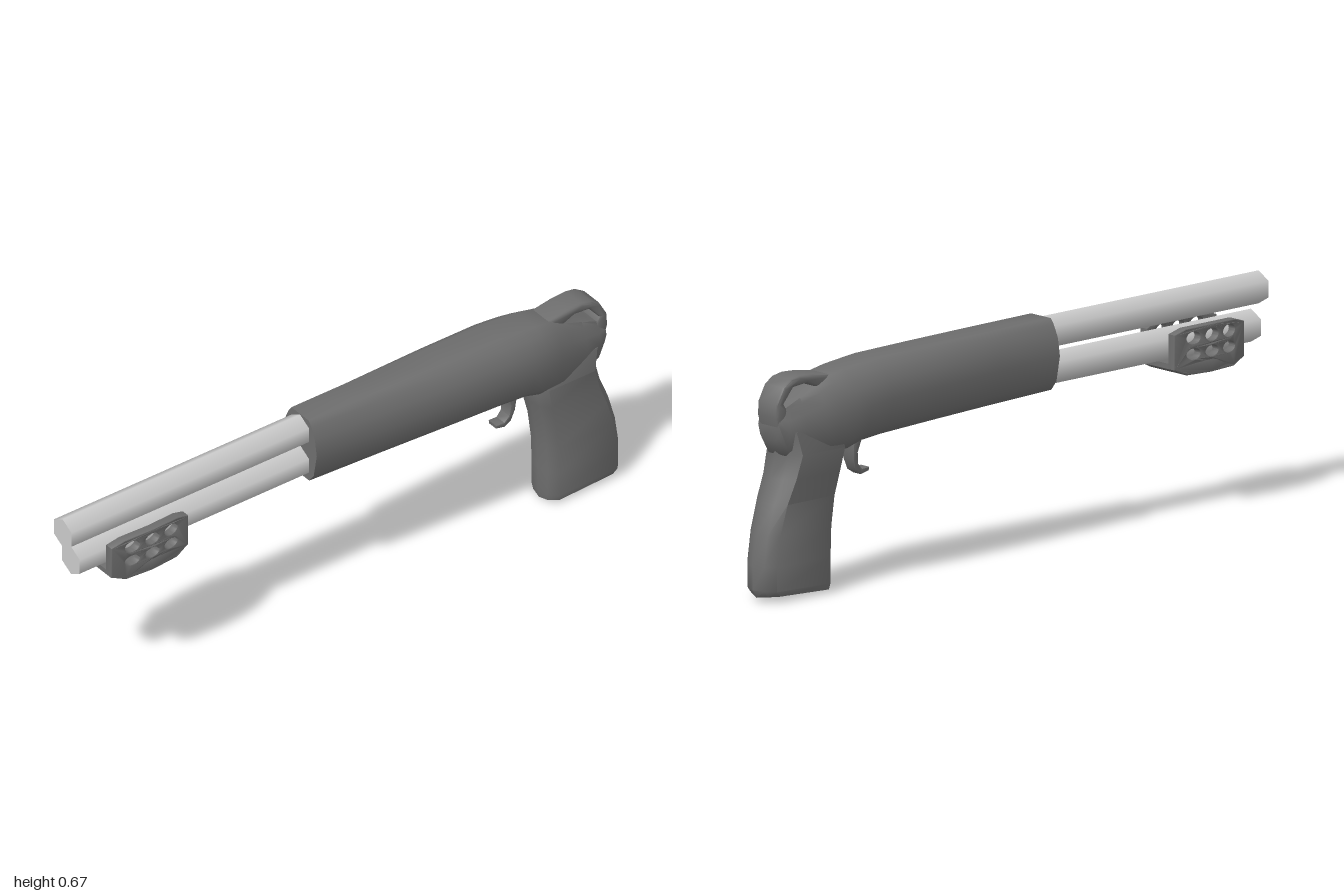
import * as THREE from 'three';
import { toCreasedNormals } from 'three/addons/utils/BufferGeometryUtils.js';

const steel = new THREE.MeshStandardMaterial({ color: 0xcccccc });
const dark = new THREE.MeshStandardMaterial({ color: 0x6e6e6e });

// Skin a list of closed rings ([x, y, z] points) and cap both ends.
function loft(rings, crease) {
  const n = rings[0].length, pos = rings.flat(2), index = [];
  for (let i = 0; i < rings.length - 1; i++)
    for (let j = 0; j < n; j++) {
      const a = i * n + j, b = i * n + (j + 1) % n;
      index.push(a, a + n, b, b, a + n, b + n);
    }
  [0, rings.length - 1].forEach((r, end) => {
    const c = pos.length / 3;
    for (let k = 0; k < 3; k++) pos.push(rings[r].reduce((s, p) => s + p[k], 0) / n);
    for (let j = 0; j < n; j++) {
      const a = r * n + j, b = r * n + (j + 1) % n;
      end ? index.push(c, b, a) : index.push(c, a, b);
    }
  });
  const g = new THREE.BufferGeometry();
  g.setAttribute('position', new THREE.Float32BufferAttribute(pos, 3));
  g.setIndex(index);
  return toCreasedNormals(g, crease);
}

// Extrude a side profile of [z, y] points across x, centred on x = 0.
function sidePlate(points, width, bevel = 0, holes = []) {
  const shape = new THREE.Shape(points.map(p => new THREE.Vector2(...p)));
  shape.holes = holes;
  const depth = width - 2 * bevel;
  return new THREE.ExtrudeGeometry(shape, {
    depth, curveSegments: 10, bevelEnabled: bevel > 0, bevelSize: bevel,
    bevelThickness: bevel, bevelOffset: -bevel, bevelSegments: 2,
  }).translate(0, 0, -depth / 2).rotateY(-Math.PI / 2);
}

// Move every vertex by a rule.
function warp(g, rule) {
  const p = g.attributes.position, v = new THREE.Vector3();
  for (let i = 0; i < p.count; i++) {
    rule(v.fromBufferAttribute(p, i));
    p.setXYZ(i, v.x, v.y, v.z);
  }
  return g;
}

export function createModel() {
  const model = new THREE.Group();
  const add = (name, geometry, material = dark) => {
    const mesh = new THREE.Mesh(geometry, material);
    mesh.name = name;
    model.add(mesh);
  };

  // Two six-sided tubes, one above the other
  for (const [name, y, end] of [['upperBarrel', 0.621, 1], ['lowerTube', 0.512, 0.97]]) {
    const length = end - 0.1;
    add(name, new THREE.CylinderGeometry(0.049, 0.049, length, 6)
      .rotateX(Math.PI / 2).translate(0, y, end - length / 2), steel);
  }

  // Body: z, top, bottom, half width, half width of the flat top
  const bodyRings = [
    [0.14, 0.672, 0.46, 0.08, 0.042],
    [-0.1, 0.67, 0.456, 0.094, 0.044],
    [-0.35, 0.667, 0.45, 0.108, 0.046],
    [-0.55, 0.664, 0.443, 0.113, 0.046],
    [-0.63, 0.657, 0.436, 0.112, 0.045],
    [-0.68, 0.652, 0.42, 0.107, 0.044],
    [-0.74, 0.642, 0.412, 0.096, 0.042],
    [-0.785, 0.617, 0.41, 0.085, 0.042],
    [-0.85, 0.593, 0.412, 0.071, 0.04],
    [-0.905, 0.57, 0.428, 0.06, 0.038],
    [-0.935, 0.555, 0.475, 0.046, 0.03],
  ].map(([z, top, bottom, w, t]) => {
    const h = top - bottom;
    const half = [[0.55 * w, 0], [0.82 * w, 0.14], [w, 0.5], [0.89 * w, 0.75],
      [Math.max(0.68 * w, t), 0.92], [t, 1]].map(([x, f]) => [x, bottom + f * h, z]);
    return [...half, ...half.map(([x, y]) => [-x, y, z]).reverse()];
  });
  add('body', loft(bodyRings, 1));

  // Grip: y, front z, back z, half width, drop of the back edge
  const gripRings = [
    [0.5, -0.69, -0.925, 0.066, 0],
    [0.43, -0.675, -0.91, 0.076, 0],
    [0.36, -0.69, -0.93, 0.07, 0],
    [0.29, -0.707, -0.96, 0.065, 0],
    [0.2, -0.718, -0.987, 0.063, 0],
    [0.11, -0.721, -1, 0.063, 0],
    [0.03, -0.721, -1, 0.063, 0.008],
    [0.011, -0.725, -0.985, 0.06, 0.012],
  ].map(([y, front, back, w, lift], i, all) => {
    const ridge = i === all.length - 1 ? 0.009 : 0;
    const half = [[0, back], [0.55 * w, back + 0.014], [w, back + 0.038],
      [w, front - 0.03], [0.6 * w, front - 0.006], [0, front]];
    const point = s => ([x, z]) =>
      [s * x, y + lift * (front - z) / (front - back) - ridge * (1 - x / w), z];
    // Counter-clockwise from above: right side of the ring runs front to back
    return [...half.slice().reverse().map(point(1)), ...half.slice(1, 5).map(point(-1))];
  });
  add('grip', loft(gripRings, 0.9));

  // Strap over the sling opening at the rear
  add('slingLoop', toCreasedNormals(sidePlate([
    [-0.73, 0.643], [-0.8, 0.655], [-0.85, 0.658], [-0.885, 0.652], [-0.915, 0.632],
    [-0.941, 0.585], [-0.943, 0.545], [-0.93, 0.5], [-0.9, 0.5], [-0.903, 0.568],
    [-0.914, 0.584], [-0.877, 0.627], [-0.823, 0.632], [-0.786, 0.616], [-0.74, 0.6],
  ], 0.086, 0.008), 0.8));

  // Trigger, narrowing downwards
  const trigger = sidePlate([
    [-0.57, 0.455], [-0.595, 0.425], [-0.606, 0.39], [-0.602, 0.355], [-0.585, 0.337],
    [-0.556, 0.338], [-0.557, 0.327], [-0.587, 0.32], [-0.61, 0.335], [-0.622, 0.37],
    [-0.625, 0.41], [-0.62, 0.455],
  ], 0.06, 0.004);
  add('trigger', toCreasedNormals(warp(trigger, v => {
    v.x *= THREE.MathUtils.mapLinear(v.y, 0.32, 0.45, 0.6, 1.05);
  }), 0.7));

  // Pump handle: a floor and two perforated cheeks, drawn in at both ends
  const pinch = v => {
    v.x -= Math.sign(v.x) * 0.013 * Math.min(1, (Math.abs(v.z - 0.738) / 0.14) ** 2);
  };
  add('pumpFloor', toCreasedNormals(warp(sidePlate([
    [0.6, 0.448], [0.645, 0.427], [0.738, 0.425], [0.83, 0.427], [0.877, 0.448],
    [0.877, 0.464], [0.738, 0.464], [0.6, 0.464],
  ], 0.17, 0.004), pinch), 0.6));
  for (const side of [1, -1]) {
    const holes = [];
    for (const z of [0.668, 0.738, 0.808])
      for (const [y, ry] of [[0.536, 0.018], [0.488, 0.016]])
        holes.push(new THREE.Path().absellipse(z, y, 0.025, ry, 0, Math.PI * 2, true));
    const cheek = sidePlate([
      [0.6, 0.448], [0.645, 0.43], [0.83, 0.43], [0.877, 0.448], [0.877, 0.552],
      [0.835, 0.566], [0.738, 0.568], [0.64, 0.566], [0.6, 0.552],
    ], 0.028, 0.003, holes).translate(side * 0.071, 0, 0);
    add(side > 0 ? 'pumpCheekLeft' : 'pumpCheekRight', toCreasedNormals(warp(cheek, pinch), 0.6));
  }

  return model;
}
